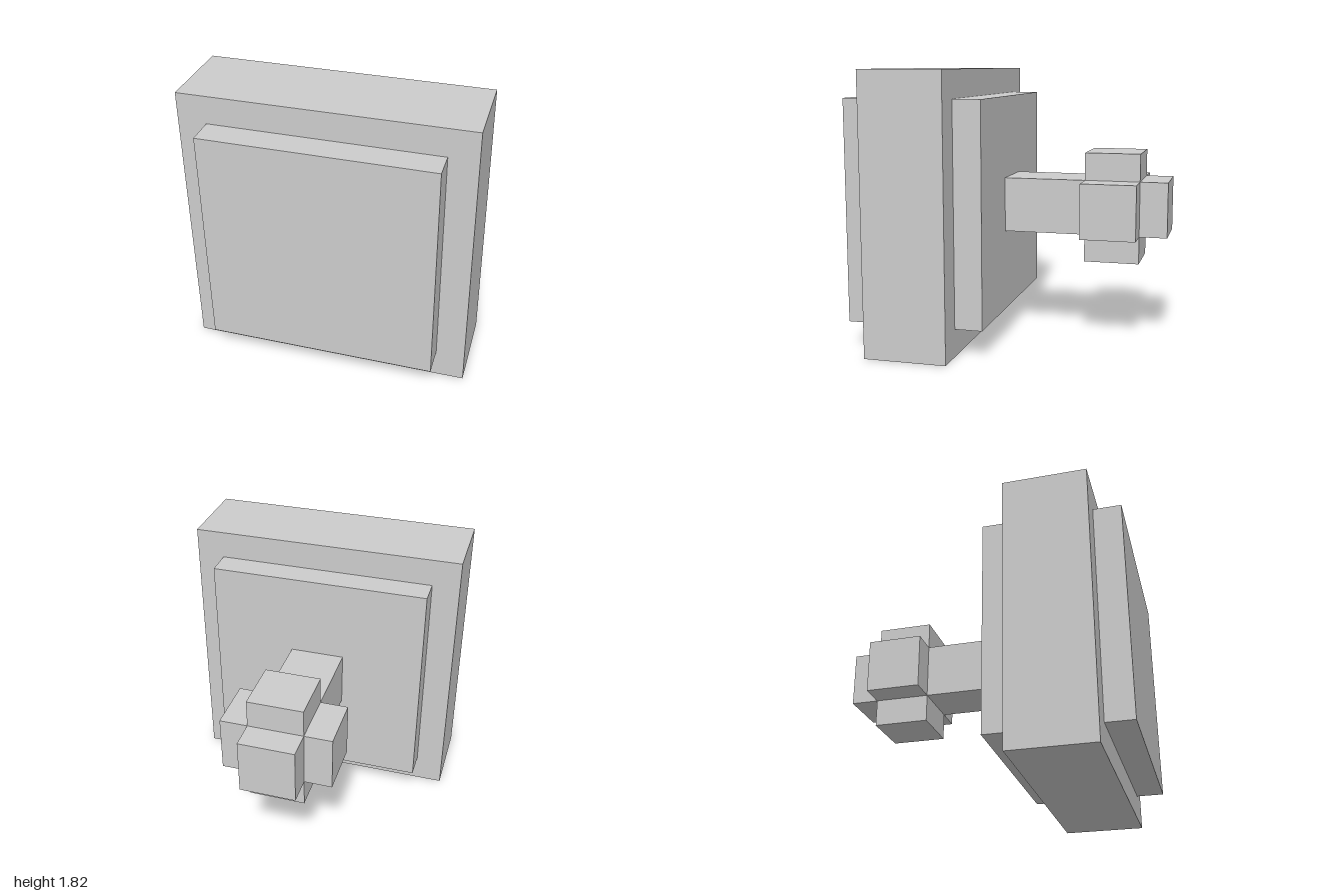
import * as THREE from 'three';

// Every dimension is a multiple of one grid unit; the model is 22 units deep.
const U = 1 / 11;
const CENTRE_Y = 10;

export function createModel() {
  const group = new THREE.Group();
  const material = new THREE.MeshStandardMaterial({ color: 0xcccccc, flatShading: true });

  // Box centred on the z axis line, running from z0 to z1 (in grid units)
  function addBlock(name, width, height, z0, z1) {
    const geometry = new THREE.BoxGeometry(width * U, height * U, (z1 - z0) * U);
    const mesh = new THREE.Mesh(geometry, material);
    mesh.name = name;
    mesh.position.set(0, CENTRE_Y * U, ((z0 + z1) / 2) * U);
    group.add(mesh);
  }

  // Square head: wide slab with a smaller raised panel on each face
  addBlock('headSlab', 20, 20, 3, 9);
  addBlock('frontPanel', 16, 16, 9, 11);
  addBlock('backPanel', 16, 16, 1, 3);

  // Square stem running to the back end
  addBlock('stem', 4, 4, -11, 1);

  // Cross-shaped knob around the stem
  addBlock('knobSideArms', 8, 4, -9, -5);
  addBlock('knobUprightArms', 4, 8, -9, -5);

  return group;
}
